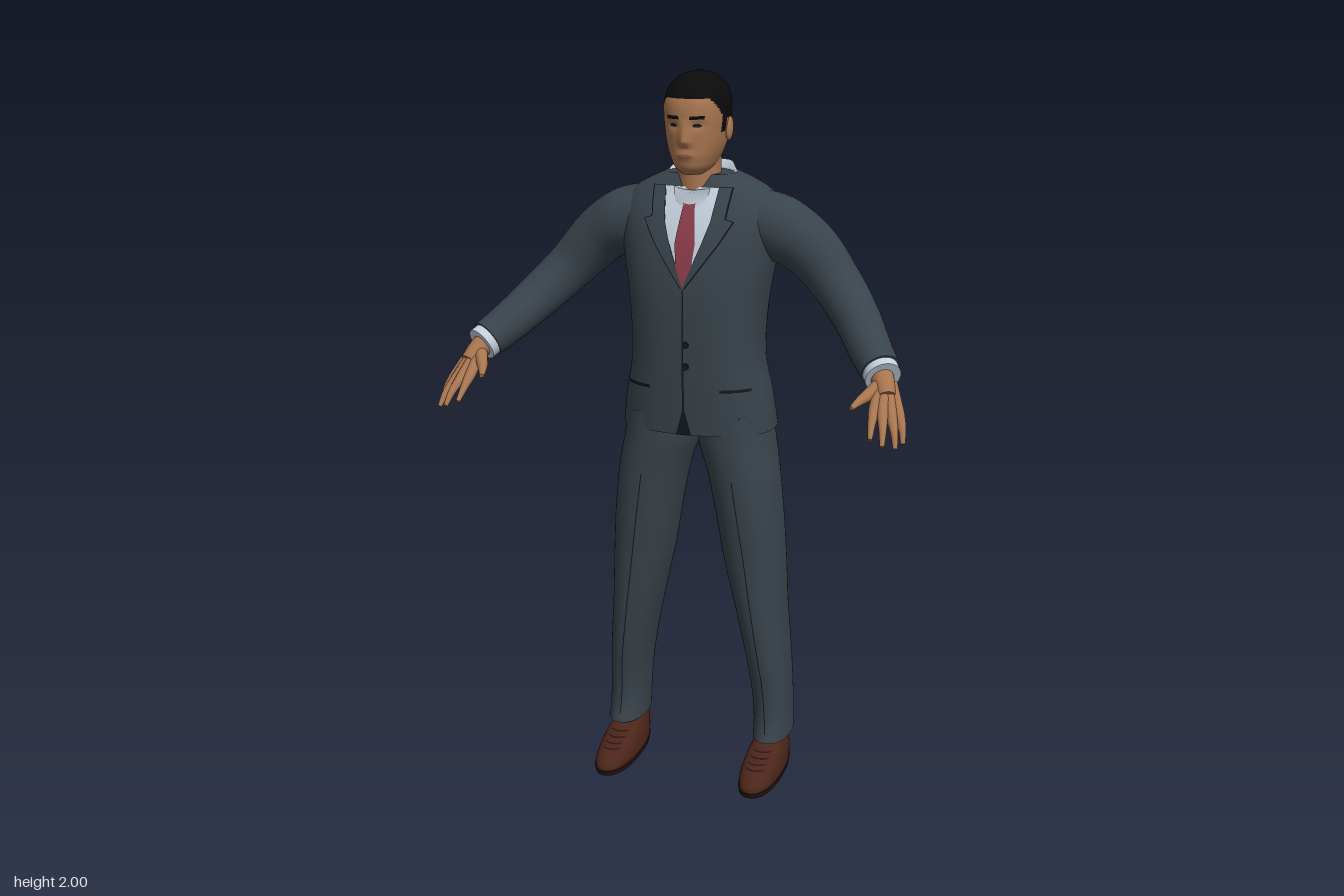
import * as THREE from 'three';

const V = (x, y, z) => new THREE.Vector3(x, y, z);
const mat = (name, color) => Object.assign(new THREE.MeshStandardMaterial({ color }), { name });
const M = {
  suit: mat('suit cloth', 0x39434b), seam: mat('dark seam', 0x14181b), shirt: mat('shirt', 0xc3d0dc),
  tie: mat('tie', 0x8a3c4a), skin: mat('skin', 0xa87650), hair: mat('hair', 0x0b0b0c),
  lips: mat('lips', 0x8a5743), shoe: mat('shoe leather', 0x4b2519), sole: mat('shoe sole', 0x241511),
};
M.shirt.side = THREE.DoubleSide;

// Joins rings of points into a surface; pick() may sort faces into material groups
function join(rings, { caps = true, pick = () => 0 } = {}) {
  const n = rings[0].length, pts = rings.flat(), sets = [[], []];
  const face = (a, b, c) => {
    const mid = V(0, 0, 0).add(pts[a]).add(pts[b]).add(pts[c]).divideScalar(3);
    sets[pick(mid)].push(a, b, c);
  };
  for (let j = 0; j < rings.length - 1; j++) for (let i = 0; i < n; i++) {
    const k = (i + 1) % n, a = j * n + i, b = j * n + k;
    face(a, b, b + n);
    face(a, b + n, a + n);
  }
  if (caps) [rings[0], rings.at(-1)].forEach((ring, end) => {
    const base = pts.length, mid = V(0, 0, 0);
    ring.forEach(p => { pts.push(p.clone()); mid.add(p); });
    pts.push(mid.divideScalar(n));
    for (let i = 0; i < n; i++) {
      const a = base + i, b = base + (i + 1) % n;
      if (end) face(base + n, a, b); else face(base + n, b, a);
    }
  });
  const g = new THREE.BufferGeometry().setFromPoints(pts);
  g.setIndex(sets.flat());
  g.addGroup(0, sets[0].length, 0);
  g.addGroup(sets[0].length, sets[1].length, 1);
  g.computeVertexNormals();
  return g;
}

// Body of horizontal sections; rows are [y, centre x, half width, front z, back z]
function body(rows, { p = 2.3, steps = 40, seg = 48, bump = q => q, ...opt } = {}) {
  const curve = new THREE.CubicInterpolant(rows.map(r => r[0]), rows.flatMap(r => r.slice(1)), 4);
  const at = y => {
    const [cx, w, f, b] = curve.evaluate(y);
    return { cx, w, c: (f + b) / 2, d: (f - b) / 2 };
  };
  const pw = v => Math.sign(v) * Math.abs(v) ** (2 / p);
  const y0 = rows[0][0], y1 = rows.at(-1)[0], rings = [];
  for (let j = 0; j <= steps; j++) {
    const y = y0 + (y1 - y0) * j / steps, s = at(y);
    rings.push(Array.from({ length: seg }, (_, i) => {
      const a = i / seg * Math.PI * 2;
      return bump(V(s.cx + s.w * pw(Math.sin(a)), y, s.c + s.d * pw(Math.cos(a))));
    }));
  }
  const surface = (x, y, side) => {
    const s = at(y), u = Math.min(1, Math.abs((x - s.cx) / s.w));
    return bump(V(x, y, s.c + side * s.d * (1 - u ** p) ** (1 / p)));
  };
  return { geo: join(rings, opt), surface, at };
}

// Thin patch lying on the front (1) or back (-1) of a body; rows are [y, x from, x to]
function panel(b, rows, off = 0.004, side = 1) {
  const pts = [], idx = [], nx = 10, ny = 8;
  rows.slice(1).forEach((r, k) => {
    for (let j = k ? 1 : 0; j <= ny; j++) {
      const [y, l, h] = r.map((v, i) => rows[k][i] + (v - rows[k][i]) * j / ny);
      for (let i = 0; i <= nx; i++) {
        const x = Math.min(l, h) + Math.abs(h - l) * i / nx;
        pts.push(b.surface(x, y, side).add(V(0, 0, off * side)));
      }
    }
  });
  const w = nx + 1;
  for (let a = 0; a + w < pts.length; a++) if (a % w < nx) {
    const t = [a, a + 1, a + w + 1, a, a + w + 1, a + w];
    idx.push(...(side > 0 ? t : t.reverse()));
  }
  const g = new THREE.BufferGeometry().setFromPoints(pts);
  g.setIndex(idx);
  g.computeVertexNormals();
  return g;
}

// Round limb along a curve; points are [x, y, z, radius]
function limb(points, s = 1, steps = 24, seg = 20) {
  const curve = new THREE.CatmullRomCurve3(points.map(q => V(q[0] * s, q[1], q[2])));
  const fr = curve.computeFrenetFrames(steps), rings = [];
  for (let j = 0; j <= steps; j++) {
    const t = curve.getUtoTmapping(j / steps) * (points.length - 1);
    const k = Math.min(Math.floor(t), points.length - 2);
    const r = THREE.MathUtils.lerp(points[k][3], points[k + 1][3], t - k), c = curve.getPointAt(j / steps);
    rings.push(Array.from({ length: seg }, (_, i) => {
      const a = i / seg * Math.PI * 2;
      return c.clone().addScaledVector(fr.normals[j], r * Math.cos(a)).addScaledVector(fr.binormals[j], r * Math.sin(a));
    }));
  }
  return join(rings);
}

export function createModel() {
  const root = new THREE.Group();
  const add = (name, geo, m) => {
    const o = new THREE.Mesh(geo, m);
    o.name = name;
    root.add(o);
    return o;
  };

  // Jacket
  const jacket = body([
    [1.03, 0, .217, .035, -.27], [1.12, 0, .205, .04, -.26], [1.22, 0, .186, .045, -.247], [1.32, 0, .186, .047, -.247],
    [1.42, 0, .196, .045, -.255], [1.5, 0, .21, .034, -.26], [1.58, 0, .222, .014, -.258], [1.64, 0, .222, -.01, -.25],
    [1.68, 0, .195, -.03, -.24], [1.71, 0, .145, -.043, -.223], [1.73, 0, .1, -.055, -.205]], { p: 2.4 });
  add('jacket', jacket.geo, M.suit);
  add('shirtFront', panel(jacket, [[1.45, -.004, .004], [1.6, -.062, .062], [1.7, -.075, .075]], .004), M.shirt);
  add('tie', panel(jacket, [[1.435, -.002, .002], [1.47, -.02, .02], [1.56, -.028, .028], [1.655, -.016, .016],
    [1.665, -.02, .02], [1.692, -.024, .024]], .008), M.tie);
  add('jacketOpening', panel(jacket, [[1.03, -.022, .022], [1.1, -.003, .003], [1.45, -.002, .002]], .003), M.seam);
  add('backVent', panel(jacket, [[1.03, -.004, .004], [1.2, -.001, .001]], .003, -1), M.seam);
  for (const y of [1.285, 1.225]) {
    const button = add('button', new THREE.CylinderGeometry(.009, .009, .006, 16).rotateX(Math.PI / 2), M.seam);
    button.position.copy(jacket.surface(.008, y, 1)).add(V(0, 0, .003));
  }
  for (const s of [-1, 1]) {
    const lapel = e => [[1.44, 0, .004 + e], [1.56, .046, .09 + e], [1.615, .064, .122 + e], [1.622, .065, .1 + e], [1.7, .075, .108 + e]]
      .map(([y, a, b]) => [y, a * s, b * s]);
    add('lapelEdge', panel(jacket, lapel(.004), .006), M.seam);
    add('lapel', panel(jacket, lapel(0), .009), M.suit);
    add('pocket', panel(jacket, [[1.155, .1 * s, .175 * s], [1.163, .1 * s, .175 * s]], .004), M.seam);
  }

  // Shirt collar, lower at the front
  const collar = [[1.685, .107, -.005, -.212], [1.725, .106, -.01, -.211], [1.755, .092, -.022, -.2], [1.7, .08, -.03, -.185]];
  add('collar', join(collar.map(([y, w, f, b]) => Array.from({ length: 48 }, (_, i) => {
    const a = i / 24 * Math.PI, z = (f + b) / 2 + (f - b) / 2 * Math.cos(a);
    return V(w * Math.sin(a), y - Math.max(0, z + .17) * .42, z);
  })), { caps: false }), M.shirt);

  // Neck and head, with the hairline following the temples and ears
  add('neck', body([[1.62, 0, .062, -.03, -.175], [1.71, 0, .057, -.03, -.172], [1.8, 0, .057, -.03, -.175]], { p: 2 }).geo, M.skin);
  const gauss = (v, w) => Math.exp(-((v / w) ** 2));
  const face = q => {
    if (q.z < -.04) return q;
    const nose = q.y > 1.825 ? (1.885 - q.y) / .06 : (q.y - 1.808) / .017;
    q.z += .019 * Math.max(0, nose) * gauss(q.x, .013) + .004 * gauss(q.y - 1.787, .01) * gauss(q.x, .025)
      - .006 * gauss(Math.abs(q.x) - .033, .018) * gauss(q.y - 1.868, .012);
    return q;
  };
  const hairline = z => z > 0 ? 1.937 : z > -.045 ? 1.937 + z * 1.1 : z > -.075 ? 1.845 : z > -.115 ? 1.88 : 1.79;
  const head = body([
    [1.735, 0, .03, -.004, -.13], [1.75, 0, .047, .016, -.15], [1.775, 0, .061, .025, -.17], [1.81, 0, .074, .028, -.187],
    [1.85, 0, .081, .031, -.198], [1.89, 0, .085, .033, -.203], [1.93, 0, .084, .028, -.2], [1.96, 0, .073, .012, -.188],
    [1.98, 0, .056, -.012, -.168], [1.992, 0, .036, -.042, -.145], [1.999, 0, .012, -.08, -.112]],
  { p: 2.2, steps: 80, seg: 80, bump: face, pick: q => q.y > hairline(q.z) ? 1 : 0 });
  add('head', head.geo, [M.skin, M.hair]);
  add('mouth', panel(head, [[1.781, -.012, .012], [1.787, -.024, .024], [1.793, -.012, .012]], .002), M.lips);
  for (const s of [-1, 1]) {
    add('eyebrow', panel(head, [[1.884, .014 * s, .05 * s], [1.893, .016 * s, .052 * s]], .003), M.hair);
    add('eye', panel(head, [[1.863, .026 * s, .038 * s], [1.867, .02 * s, .045 * s], [1.872, .026 * s, .038 * s]], .002), M.seam);
    const ear = add('ear', new THREE.SphereGeometry(1, 20, 14), M.skin);
    ear.scale.set(.01, .032, .019);
    ear.position.set(.084 * s, 1.85, -.096);
    ear.rotation.x = -.2;
  }

  for (const s of [-1, 1]) {
    // Arm
    add('sleeve', limb([[.14, 1.61, -.125, .085], [.22, 1.585, -.125, .09], [.3, 1.535, -.13, .08], [.38, 1.45, -.113, .069],
      [.45, 1.375, -.055, .063], [.51, 1.31, .03, .057], [.552, 1.27, .09, .053]], s, 40, 32), M.suit);
    add('cuff', limb([[.545, 1.276, .08, .048], [.563, 1.258, .108, .048]], s, 2, 32), M.shirt);

    // Hand
    add('wrist', limb([[.55, 1.27, .09, .032], [.568, 1.245, .12, .029], [.582, 1.218, .15, .025]], s), M.skin);
    const fingers = [
      [[.56, 1.195, .19], [.563, 1.165, .23], [.567, 1.135, .262]], [[.583, 1.188, .196], [.594, 1.155, .24], [.6, 1.122, .27]],
      [[.604, 1.18, .187], [.62, 1.147, .222], [.629, 1.112, .247]], [[.62, 1.177, .167], [.634, 1.147, .19], [.64, 1.115, .208]]];
    fingers.forEach(([a, b, c], i) => add('finger', limb([[.562 + i * .008, 1.245, .122 - i * .003, .016],
      [...a, .015], [...b, .01], [...c, .006]], s, 20, 12), M.skin));
    add('thumb', limb([[.562, 1.245, .12, .02], [.535, 1.222, .168, .016], [.52, 1.212, .2, .011], [.509, 1.203, .23, .006]], s, 20, 12), M.skin);

    // Trouser leg with pressed creases
    const leg = body([
      [.105, .222, .053, -.025, -.226], [.15, .221, .053, -.038, -.226], [.22, .218, .054, -.038, -.226], [.34, .207, .059, -.02, -.23],
      [.5, .185, .07, -.005, -.23], [.65, .165, .085, .002, -.225], [.8, .147, .093, .013, -.225], [.92, .127, .099, .018, -.235],
      [1.0, .107, .105, .02, -.25], [1.08, .1, .1, .02, -.24]].map(([y, x, ...r]) => [y, x * s, ...r]), { p: 2.2 });
    add('trouserLeg', leg.geo, M.suit);
    for (const side of [1, -1]) {
      const rows = [.13, .3, .5, .7, .9].map(y => [y, leg.at(y).cx - .0015, leg.at(y).cx + .0015]);
      add('crease', panel(leg, rows, .003, side), M.seam);
    }

    // Ankle and shoe
    const x = .218 * s;
    add('ankle', body([[.06, x, .04, -.07, -.195], [.15, x, .04, -.07, -.195]], { p: 2, steps: 4 }).geo, M.skin);
    add('sole', body([[0, x, .054, .113, -.205], [.016, x, .057, .119, -.21]], { p: 2.4, steps: 4 }).geo, M.sole);
    const shoe = body([[.014, x, .055, .117, -.208], [.03, x, .056, .112, -.21], [.05, x, .054, .083, -.212],
      [.07, x, .05, .035, -.21], [.085, x, .046, -.015, -.207], [.1, x, .042, -.055, -.202]], { p: 2.3, steps: 24 });
    add('shoe', shoe.geo, M.shoe);
    for (const y of [.06, .068, .076, .084])
      add('lace', panel(shoe, [[y, x - .026, x + .026], [y + .002, x - .026, x + .026]], .005), M.sole);
  }
  return root;
}
